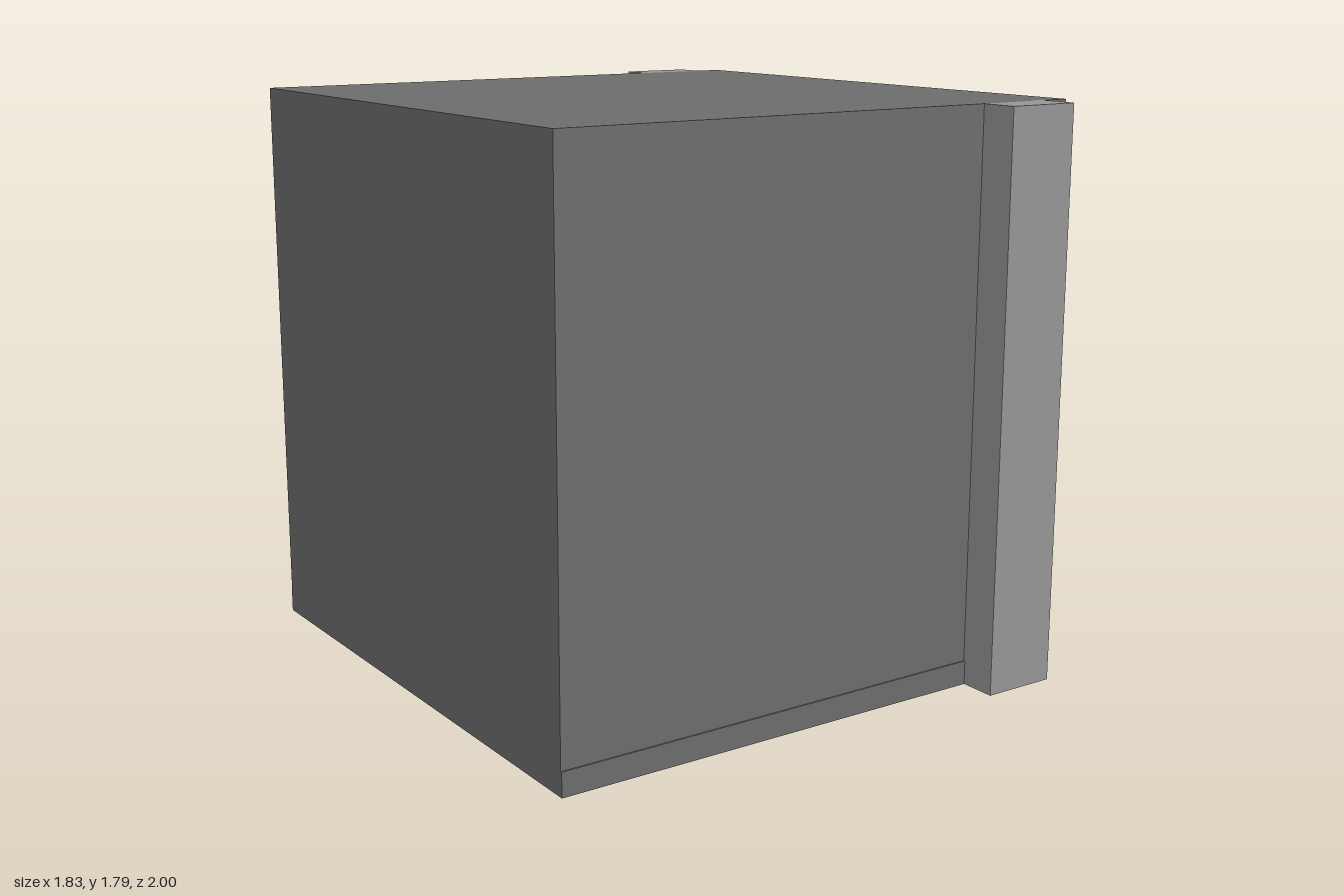
import * as THREE from 'three';

export function createModel() {
  const model = new THREE.Group();
  model.name = 'elevatorCabin';

  const material = (name, color) => {
    const m = new THREE.MeshStandardMaterial({ color });
    m.name = name;
    return m;
  };
  const darkGrey = material('dark grey', 0x6c6c6c);
  const midGrey = material('mid grey', 0x959595);
  const paleGrey = material('pale grey', 0xd0d0d0);

  const add = (name, geometry, mat, parent = model) => {
    const mesh = new THREE.Mesh(geometry, mat);
    mesh.name = name;
    parent.add(mesh);
    return mesh;
  };
  // Box given by its limits on each axis
  const box = (name, mat, [x0, x1], [y0, y1], [z0, z1]) => {
    const mesh = add(name, new THREE.BoxGeometry(x1 - x0, y1 - y0, z1 - z0), mat);
    mesh.position.set((x0 + x1) / 2, (y0 + y1) / 2, (z0 + z1) / 2);
    return mesh;
  };
  // Upright rectangle path in the (-z, y) plane
  const rectangle = (path, z0, z1, y0, y1) => {
    path.moveTo(-z1, y0);
    path.lineTo(-z0, y0);
    path.lineTo(-z0, y1);
    path.lineTo(-z1, y1);
    path.closePath();
    return path;
  };
  // Plate with a rectangular hole, extruded along +x
  const holedPlate = (name, mat, outer, hole, x0, x1) => {
    const shape = rectangle(new THREE.Shape(), ...outer);
    shape.holes.push(rectangle(new THREE.Path(), ...hole));
    const geometry = new THREE.ExtrudeGeometry(shape, { depth: x1 - x0, bevelEnabled: false });
    geometry.rotateY(Math.PI / 2);
    geometry.translate(x0, 0, 0);
    return add(name, geometry, mat);
  };

  // Cabin shell
  const bottom = 0.015, top = 1.79, floorTop = 0.09, ceiling = 1.70;
  box('floorSlab', darkGrey, [-0.915, 0.866], [bottom, floorTop], [-0.902, 0.885]);
  box('roof', darkGrey, [-0.915, 0.68], [ceiling, top], [-0.9, 0.88]);
  box('farWall', darkGrey, [-0.915, -0.85], [floorTop, ceiling], [-0.9, 0.88]);
  box('frontWall', darkGrey, [-0.85, 0.68], [floorTop, ceiling], [0.82, 0.88]);
  box('backWall', darkGrey, [-0.85, 0.68], [floorTop, ceiling], [-0.9, -0.84]);
  holedPlate('doorWall', darkGrey, [-0.9, 0.88, floorTop, top],
    [-0.57, 0.555, floorTop + 0.001, 1.465], 0.68, 0.86);

  // Doorway: sill, recessed centre door and the jambs standing in front of it
  box('sill', paleGrey, [0.53, 0.858], [floorTop, floorTop + 0.004], [-0.57, 0.555]);
  box('centreDoor', midGrey, [0.59, 0.71], [floorTop, 1.48], [-0.335, 0.335]);
  box('frontJamb', midGrey, [0.53, 0.77], [floorTop, 1.48], [0.335, 0.57]);
  box('backJamb', midGrey, [0.53, 0.77], [floorTop, 1.48], [-0.585, -0.335]);

  // Guide columns on the outer walls
  box('frontColumn', midGrey, [0.53, 0.77], [bottom, top], [0.87, 1]);
  box('backColumn', midGrey, [0.53, 0.77], [bottom, top], [-1, -0.89]);

  // Display plate beside the door
  box('signPlate', midGrey, [0.859, 0.866], [0.70, 0.98], [0.57, 0.86]);

  // Call panel with raised rim and two buttons
  box('callPanel', darkGrey, [0.855, 0.892], [0.645, 1.07], [-0.83, -0.625]);
  holedPlate('callPanelRim', darkGrey, [-0.835, -0.62, 0.64, 1.075],
    [-0.82, -0.635, 0.655, 1.06], 0.878, 0.899);
  for (const y of [0.78, 0.925]) {
    const button = add('callButton', new THREE.CylinderGeometry(0.026, 0.03, 0.03, 24), darkGrey);
    button.rotation.z = -Math.PI / 2;
    button.position.set(0.897, y, -0.725);
  }

  // Round fitting under the floor
  const fitting = new THREE.Group();
  fitting.name = 'floorFitting';
  fitting.position.set(-0.018, 0, 0);
  model.add(fitting);
  add('fittingDisc', new THREE.CylinderGeometry(0.062, 0.062, 0.012, 24), darkGrey, fitting)
    .position.y = 0.011;
  const ring = add('fittingRing', new THREE.TorusGeometry(0.04, 0.007, 8, 24), darkGrey, fitting);
  ring.rotation.x = Math.PI / 2;
  ring.position.y = 0.007;

  return model;
}
